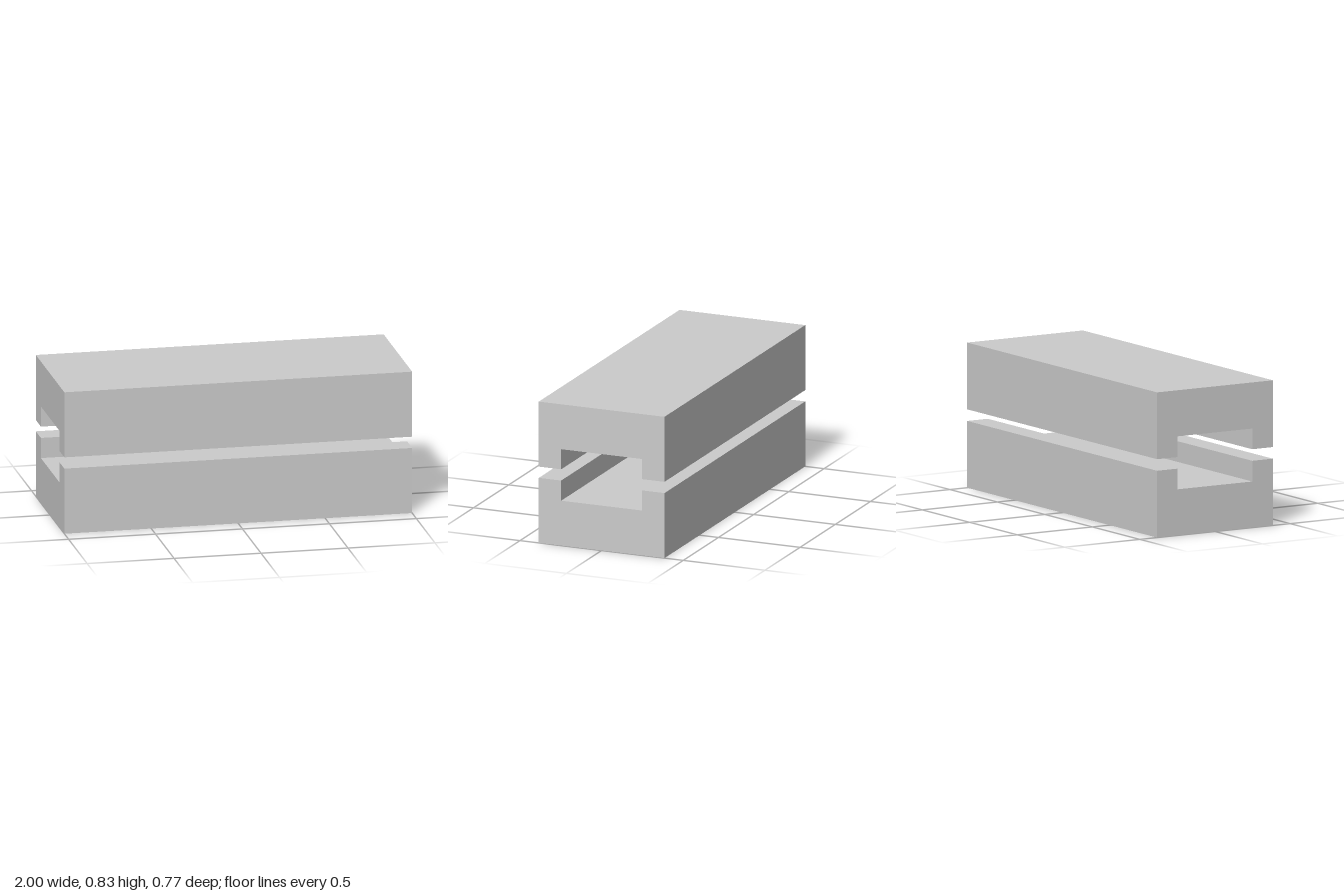
import * as THREE from 'three';

const LENGTH = 2;
const HEIGHT = 0.828; // overall, both halves and the gap
const HALF_DEPTH = 0.385;
const CHANNEL_HALF = 0.248;
const RIM_Y = 0.381;
const FLOOR_Y = 0.263;

// U-shaped cross-section swept along x
function channelBlockGeometry() {
  const profile = new THREE.Shape([
    [-HALF_DEPTH, 0], [HALF_DEPTH, 0], [HALF_DEPTH, RIM_Y], [CHANNEL_HALF, RIM_Y],
    [CHANNEL_HALF, FLOOR_Y], [-CHANNEL_HALF, FLOOR_Y], [-CHANNEL_HALF, RIM_Y], [-HALF_DEPTH, RIM_Y],
  ].map(([x, y]) => new THREE.Vector2(x, y)));
  const geometry = new THREE.ExtrudeGeometry(profile, { depth: LENGTH, bevelEnabled: false });
  geometry.translate(0, 0, -LENGTH / 2);
  geometry.rotateY(Math.PI / 2);
  return geometry;
}

export function createModel() {
  const group = new THREE.Group();
  group.name = 'channelBlockPair';
  const material = new THREE.MeshStandardMaterial({ color: 0xcccccc });
  const geometry = channelBlockGeometry();

  // lower half, channel facing up
  const lower = new THREE.Mesh(geometry, material);
  lower.name = 'lowerBlock';

  // upper half, the same block turned over
  const upper = new THREE.Mesh(geometry, material);
  upper.name = 'upperBlock';
  upper.rotation.x = Math.PI;
  upper.position.y = HEIGHT;

  group.add(lower, upper);
  return group;
}
